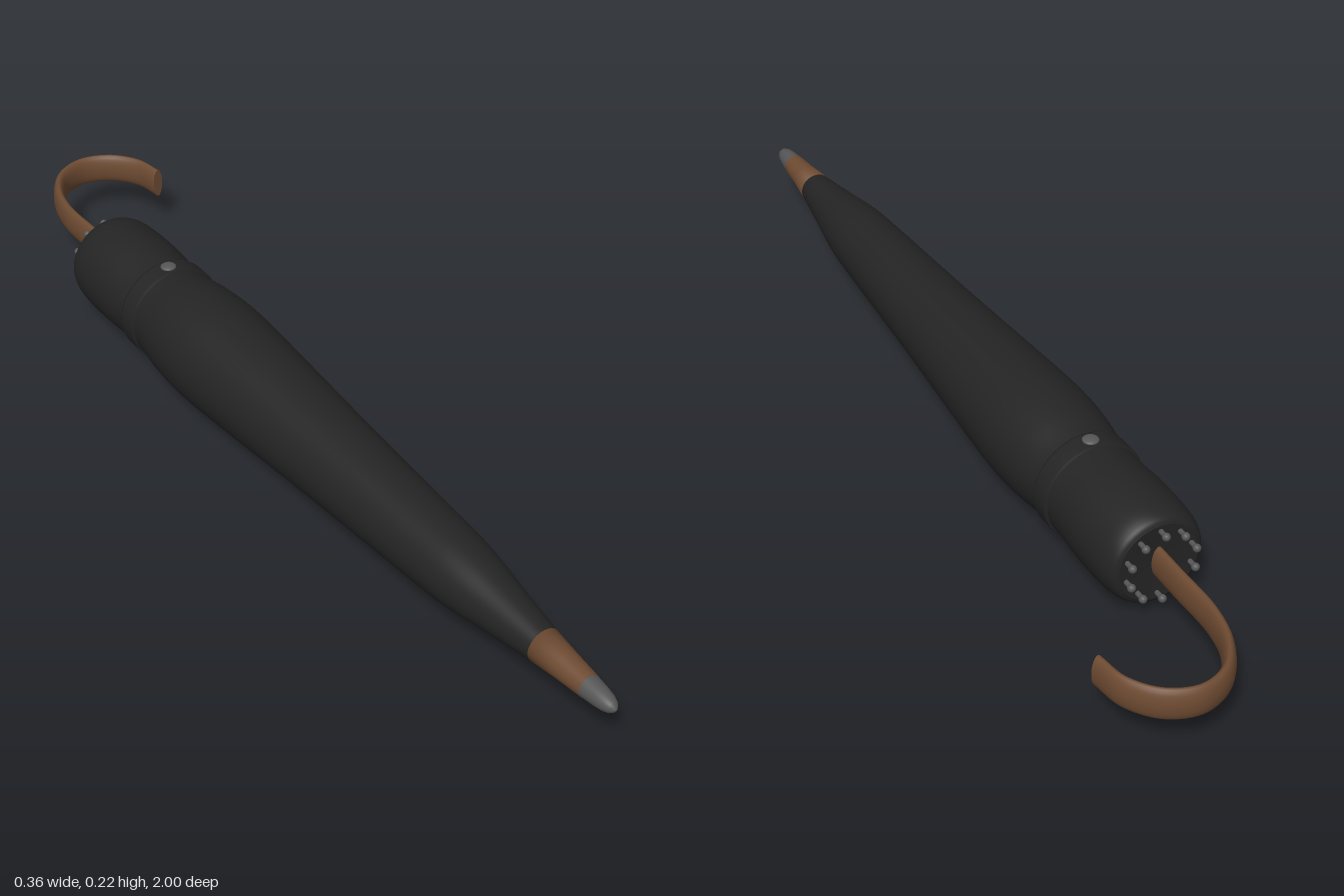
import * as THREE from 'three';

const AXIS_X = -0.07, AXIS_Y = 0.112;

export function createModel() {
  const model = new THREE.Group();
  model.name = 'closedUmbrella';
  const mat = (color) => new THREE.MeshStandardMaterial({ color, side: THREE.DoubleSide });
  const cloth = mat(0x242424), wood = mat(0x6e4b32), metal = mat(0x565656);

  // everything turned sits on one axis running along z
  const body = new THREE.Group();
  body.name = 'turnedBody';
  body.position.set(AXIS_X, AXIS_Y, 0);
  model.add(body);

  const add = (parent, name, geometry, material) => {
    const mesh = new THREE.Mesh(geometry, material);
    mesh.name = name;
    parent.add(mesh);
    return mesh;
  };
  const v2 = ([z, r]) => new THREE.Vector2(r, z);
  // profile given as [z, radius], from back to front
  const turn = (name, points, material) =>
    add(body, name, new THREE.LatheGeometry(points.map(v2), 64).rotateX(Math.PI / 2), material);

  // rolled canopy: soft curve through the main radii
  const canopyCurve = new THREE.SplineCurve([
    [-0.655, 0.08], [-0.645, 0.092], [-0.61, 0.1], [-0.53, 0.102], [-0.45, 0.098],
    [-0.38, 0.099], [-0.31, 0.108], [-0.24, 0.112], [-0.14, 0.109], [0.2, 0.088],
    [0.5, 0.072], [0.6, 0.065], [0.7, 0.05], [0.81, 0.034],
  ].map(v2));
  add(body, 'canopy', new THREE.LatheGeometry(canopyCurve.getPoints(90), 64).rotateX(Math.PI / 2), cloth);
  turn('canopyBackCover', [[-0.65, 0.0], [-0.655, 0.08]], cloth);

  // closing strap with its button
  turn('strap', [
    [-0.43, 0.096], [-0.429, 0.102], [-0.426, 0.103], [-0.389, 0.103], [-0.386, 0.102], [-0.385, 0.096],
  ], cloth);
  const button = add(body, 'strapButton', new THREE.SphereGeometry(0.016, 24, 12), metal);
  button.scale.y = 0.35;
  button.position.set(0, 0.103, -0.408);

  // wooden nose and metal tip
  turn('woodenNose', [[0.8, 0.0], [0.81, 0.0345], [0.87, 0.028], [0.93, 0.023]], wood);
  turn('metalTip', [
    [0.93, 0.0225], [0.96, 0.0195], [0.978, 0.0165], [0.99, 0.012], [0.997, 0.006], [1.0, 0],
  ], metal);

  // rib ends around the handle
  const ribs = 10;
  for (let i = 0; i < ribs; i++) {
    const a = (i / ribs) * Math.PI * 2;
    const rib = new THREE.Group();
    rib.name = 'ribEnd';
    rib.position.set(Math.sin(a) * 0.068, Math.cos(a) * 0.068, 0);
    add(rib, 'ribStem', new THREE.CylinderGeometry(0.005, 0.005, 0.04, 10).rotateX(Math.PI / 2), metal)
      .position.z = -0.655;
    add(rib, 'ribBead', new THREE.SphereGeometry(0.008, 12, 8), metal).position.z = -0.673;
    body.add(rib);
  }

  // hooked handle: a tube stretched in height to an oval section
  const handle = new THREE.Group();
  handle.name = 'handle';
  handle.position.y = AXIS_Y;
  const path = new THREE.CatmullRomCurve3([
    [-0.07, -0.6], [-0.07, -0.72], [-0.07, -0.83], [-0.052, -0.905], [-0.01, -0.965],
    [0.05, -0.987], [0.11, -0.967], [0.152, -0.915], [0.165, -0.85],
  ].map(([x, z]) => new THREE.Vector3(x, 0, z)));
  const R = 0.0125, TALL = 2.6;
  add(handle, 'crook', new THREE.TubeGeometry(path, 80, R, 24).scale(1, TALL, 1), wood);
  const cap = add(handle, 'crookEnd', new THREE.CircleGeometry(R, 24).scale(1, TALL, 1), wood);
  const t = path.getTangent(1);
  cap.position.copy(path.getPoint(1));
  cap.rotation.y = Math.atan2(t.x, t.z);
  model.add(handle);

  return model;
}
